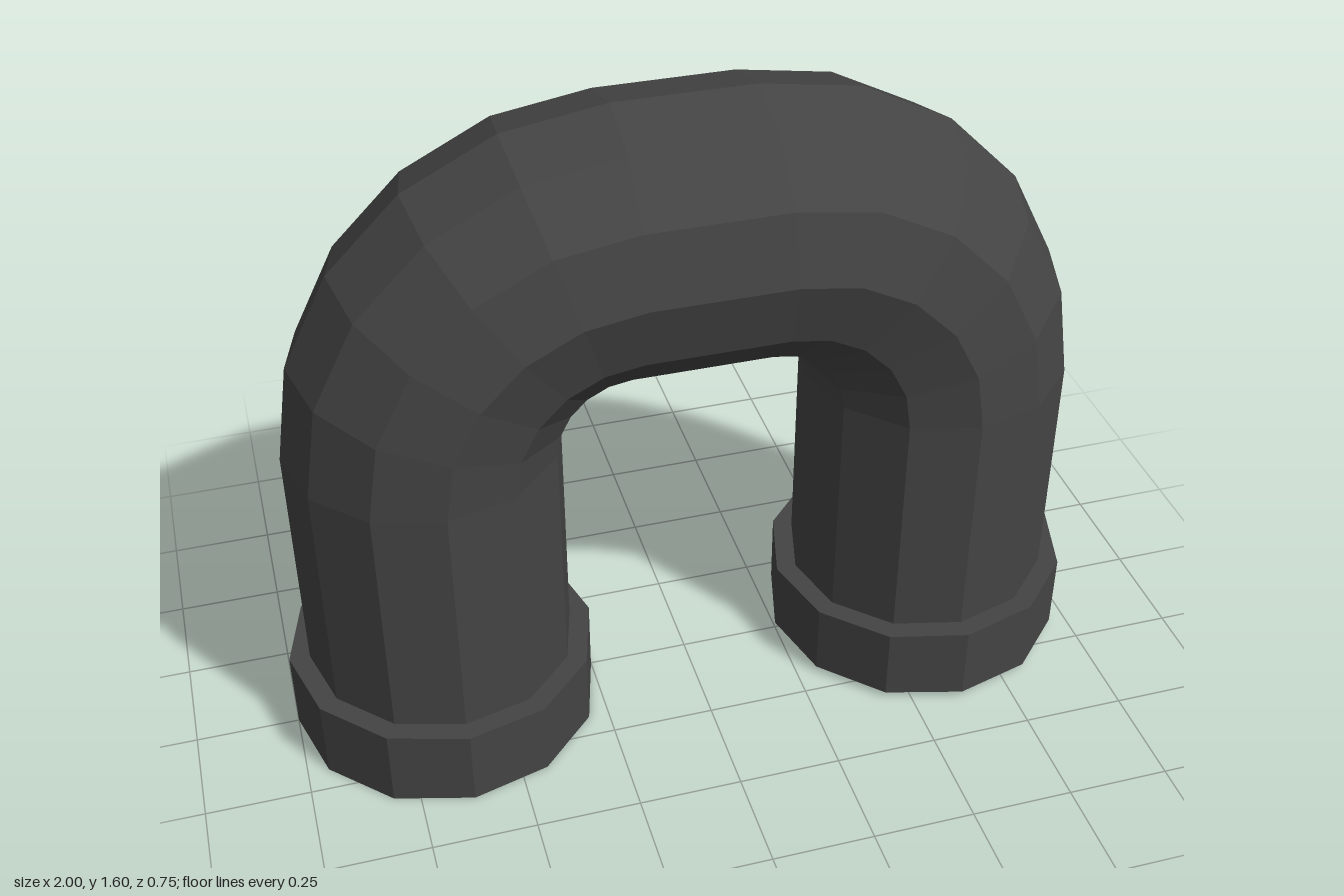
import * as THREE from 'three';

const SIDES = 12;
const LEG_X = 0.625;

// Ring centres along the U, each with its in-plane outward angle
function pathStations() {
  const cx = 0.165, cy = 0.81, bend = LEG_X - cx, steps = 5;
  const right = [{ x: LEG_X, y: 0.145, a: 0 }];
  for (let i = 0; i <= steps; i++) {
    const a = (i / steps) * Math.PI / 2;
    right.push({ x: cx + bend * Math.cos(a), y: cy + bend * Math.sin(a), a });
  }
  const left = right.map(s => ({ x: -s.x, y: s.y, a: Math.PI - s.a }));
  return [...left, ...right.reverse()];
}

// Hollow tube: outer wall there, inner wall back, closed at both ends
function pipeGeometry(outer, inner) {
  const path = pathStations();
  const rings = [
    ...path.map(s => ({ ...s, r: outer })),
    ...path.slice().reverse().map(s => ({ ...s, r: inner })),
  ];
  const pos = [], idx = [];
  for (const s of rings) {
    for (let j = 0; j < SIDES; j++) {
      const t = (j / SIDES) * Math.PI * 2, d = s.r * Math.cos(t);
      pos.push(s.x + d * Math.cos(s.a), s.y + d * Math.sin(s.a), s.r * Math.sin(t));
    }
  }
  for (let i = 0; i < rings.length; i++) {
    const n = (i + 1) % rings.length;
    for (let j = 0; j < SIDES; j++) {
      const k = (j + 1) % SIDES;
      const a = i * SIDES + j, b = i * SIDES + k, c = n * SIDES + j, d = n * SIDES + k;
      idx.push(a, b, c, b, d, c);
    }
  }
  const geo = new THREE.BufferGeometry();
  geo.setAttribute('position', new THREE.Float32BufferAttribute(pos, 3));
  geo.setIndex(idx);
  geo.computeVertexNormals();
  return geo;
}

// Stepped socket ring whose upper rim tilts slightly outwards
function collarGeometry(height, tilt) {
  const profile = [
    [0.345, 0], [0.375, 0], [0.375, height], [0.325, height],
    [0.325, 0.145], [0.345, 0.145], [0.345, 0],
  ].map(([r, y]) => new THREE.Vector2(r, y));
  const geo = new THREE.LatheGeometry(profile, SIDES);
  const p = geo.attributes.position;
  for (let i = 0; i < p.count; i++) {
    if (p.getY(i) > 0.17) p.setY(i, p.getY(i) + tilt * p.getX(i));
  }
  geo.computeVertexNormals();
  return geo;
}

export function createModel() {
  const group = new THREE.Group();
  group.name = 'bentPipe';
  const material = new THREE.MeshStandardMaterial({ color: 0x444444, flatShading: true });

  const pipe = new THREE.Mesh(pipeGeometry(0.325, 0.3), material);
  pipe.name = 'pipe';
  group.add(pipe);

  // Collars: the left one sits a touch higher
  for (const [name, side, base, height] of [
    ['leftCollar', 1, 0.015, 0.193],
    ['rightCollar', -1, 0, 0.198],
  ]) {
    const collar = new THREE.Mesh(collarGeometry(height, 0.02 * side), material);
    collar.name = name;
    collar.position.set(side * LEG_X, base, 0);
    group.add(collar);
  }
  return group;
}
